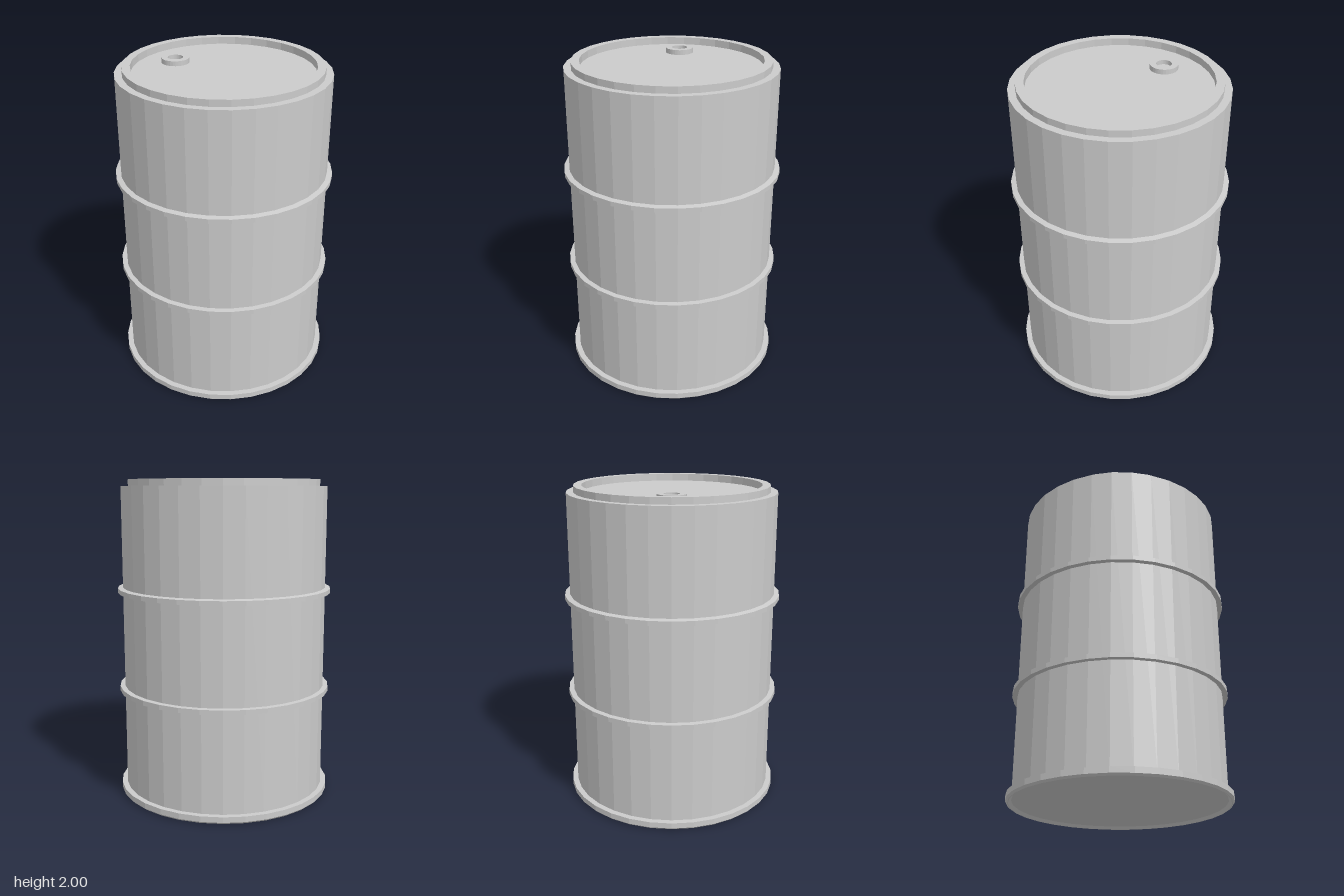
import * as THREE from 'three';

const SIDES = 32;
const BODY_R = 0.645;
const LID_Y = 1.955;

const steel = new THREE.MeshStandardMaterial({ color: 0xcccccc, flatShading: true, side: THREE.DoubleSide });

// Revolve a [radius, height] profile, listed from bottom to top on the outside
function turned(name, profile) {
  const points = profile.map(([r, y]) => new THREE.Vector2(r, y));
  const mesh = new THREE.Mesh(new THREE.LatheGeometry(points, SIDES), steel);
  mesh.name = name;
  return mesh;
}

export function createModel() {
  const drum = new THREE.Group();
  drum.name = 'drum';

  // Straight wall with the slightly raised bottom plate
  drum.add(turned('body', [[0, 0.02], [BODY_R, 0.02], [BODY_R, 1.96], [0.6, 1.96]]));

  // Bottom rim, bevelled underneath
  drum.add(turned('bottomRim', [
    [BODY_R, 0.02], [0.662, 0.003], [0.668, 0.003], [0.68, 0.015], [0.68, 0.05], [BODY_R, 0.05],
  ]));

  // Two rolling hoops around the wall
  drum.add(turned('lowerHoop', [[BODY_R, 0.67], [0.677, 0.67], [0.677, 0.7], [BODY_R, 0.702]]));
  drum.add(turned('upperHoop', [[BODY_R, 1.302], [0.677, 1.302], [0.677, 1.33], [BODY_R, 1.336]]));

  // Raised top rim and the sunken lid inside it
  drum.add(turned('topRim', [[0.6, 1.96], [0.6, 2], [0.55, 2], [0.55, LID_Y]]));
  drum.add(turned('lid', [[0.55, LID_Y], [0, LID_Y]]));

  // Filler collar with an open bore
  const bung = turned('fillerCollar', [[0.086, 0], [0.086, 0.03], [0.047, 0.03], [0.047, 0.003], [0, 0.003]]);
  bung.position.set(-0.34, LID_Y, 0);
  drum.add(bung);

  return drum;
}
